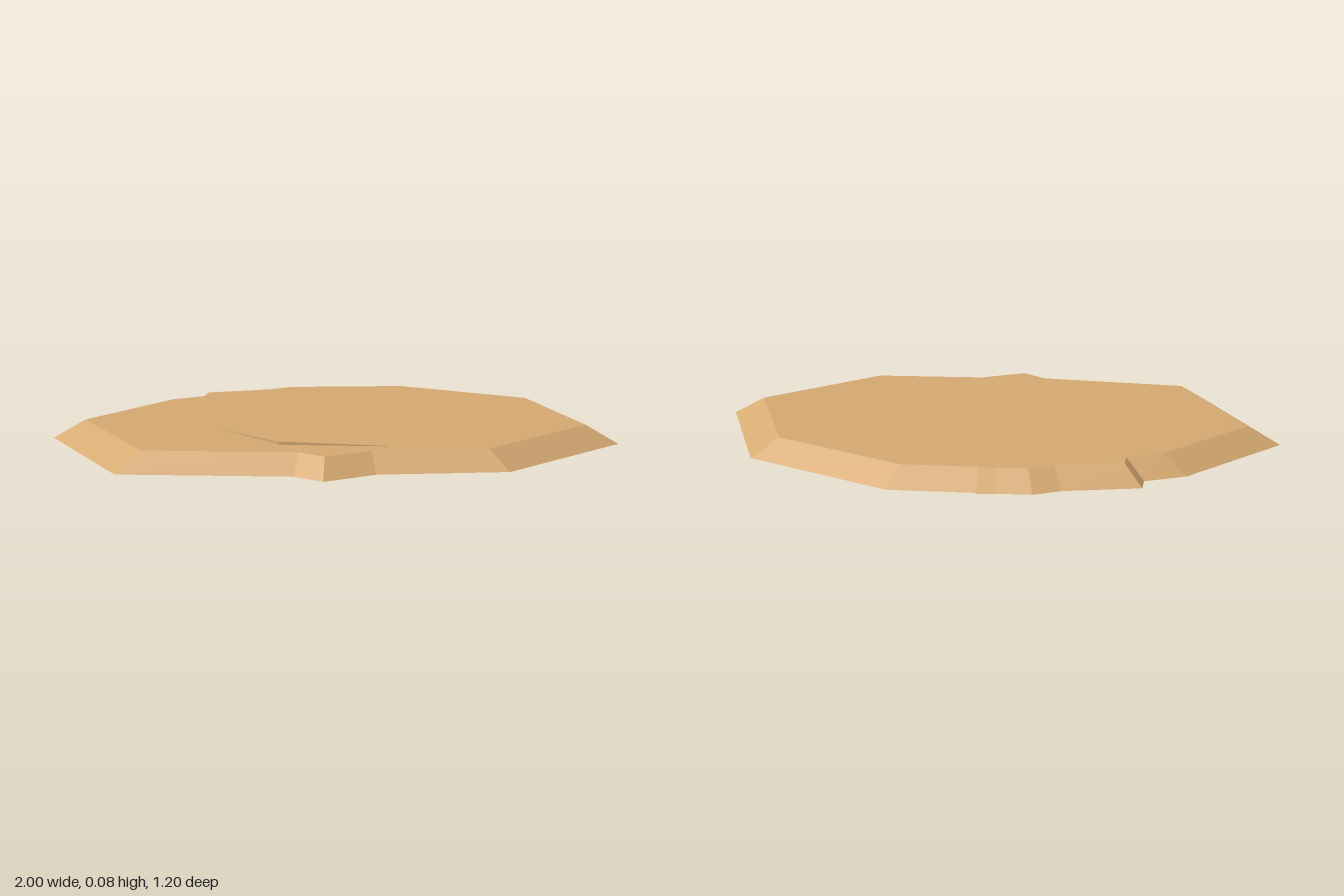
import * as THREE from 'three';

// Small seeded generator for the irregular inner layers
function seeded(seed) {
  let s = seed;
  return () => (s = (s * 16807) % 2147483647) / 2147483647;
}

function flatGeometry(positions) {
  const g = new THREE.BufferGeometry();
  g.setAttribute('position', new THREE.Float32BufferAttribute(positions, 3));
  g.computeVertexNormals();
  return g;
}

// Open-bottomed slab: flared walls and a flat cap over an outline of [x, z] points
function shellGeometry(outline, height, topScale) {
  const low = outline.map(([x, z]) => [x, 0, z]);
  const high = outline.map(([x, z]) => [x * topScale, height, z * topScale]);
  const pos = [];
  const tri = (a, b, c) => pos.push(...a, ...b, ...c);
  low.forEach((a, i) => {
    const j = (i + 1) % low.length;
    tri(a, low[j], high[j]);
    tri(a, high[j], high[i]);
  });
  const flat = high.map(([x, , z]) => new THREE.Vector2(x, -z));
  for (const [a, b, c] of THREE.ShapeUtils.triangulateShape(flat, [])) tri(high[a], high[b], high[c]);
  return flatGeometry(pos);
}

export function createModel() {
  const model = new THREE.Group();
  model.name = 'rockSlab';
  const sandstone = new THREE.MeshStandardMaterial({ color: 0xd6aa72, side: THREE.DoubleSide });
  sandstone.name = 'sandstone';
  const add = (name, geometry, x = 0, z = 0) => {
    const mesh = new THREE.Mesh(geometry, sandstone);
    mesh.name = name;
    mesh.position.set(x, 0, z);
    model.add(mesh);
  };

  // Main slab
  const rim = [
    [-1, 0.07], [-0.7, 0.54], [-0.11, 0.54], [-0.01, 0.597], [0.16, 0.503], [0.6, 0.45],
    [1, 0.065], [0.79, -0.395], [0.26, -0.6], [-0.03, -0.575], [-0.04, -0.582], [-0.1, -0.57],
    [-0.22, -0.557], [-0.31, -0.507], [-0.565, -0.435], [-0.565, -0.37], [-0.7, -0.3],
  ];
  add('mainSlab', shellGeometry(rim, 0.066, 0.885));

  // Largest hidden layer
  const inner = [
    [-0.6, 0], [-0.55, 0.31], [-0.17, 0.43], [0.27, 0.445], [0.57, 0.25],
    [0.55, -0.32], [0.29, -0.5], [-0.16, -0.53], [-0.46, -0.3],
  ];
  add('innerLayer', shellGeometry(inner, 0.064, 0.885));

  // Smaller nested layers, each an irregular polygon turned its own way
  const rand = seeded(41);
  [0.48, 0.39, 0.32, 0.25, 0.18].forEach((radius, k) => {
    const sides = 9 - (k % 2);
    const turn = rand() * Math.PI;
    const outline = [];
    for (let i = 0; i < sides; i++) {
      const a = turn - (i / sides) * Math.PI * 2;
      const r = radius * (0.92 + rand() * 0.16);
      outline.push([r * Math.cos(a), r * Math.sin(a)]);
    }
    add('nestedLayer' + (k + 1), shellGeometry(outline, 0.063 - k * 0.001, 0.885), 0.02, -0.05);
  });

  // Raised shard breaking through the top, with a thin front edge
  const apex = [-0.17, 0.077, 0.383];
  const left = [-0.38, 0.067, 0.19];
  const back = [0.29, 0.067, -0.03];
  const right = [0.19, 0.068, 0.386];
  const drop = ([x, , z]) => [x, 0.06, z];
  const shard = [];
  const tri = (a, b, c) => shard.push(...a, ...b, ...c);
  tri(apex, back, left);
  tri(apex, right, back);
  for (const [a, b] of [[left, apex], [apex, right]]) {
    tri(drop(a), drop(b), b);
    tri(drop(a), b, a);
  }
  add('raisedShard', flatGeometry(shard));
  return model;
}
